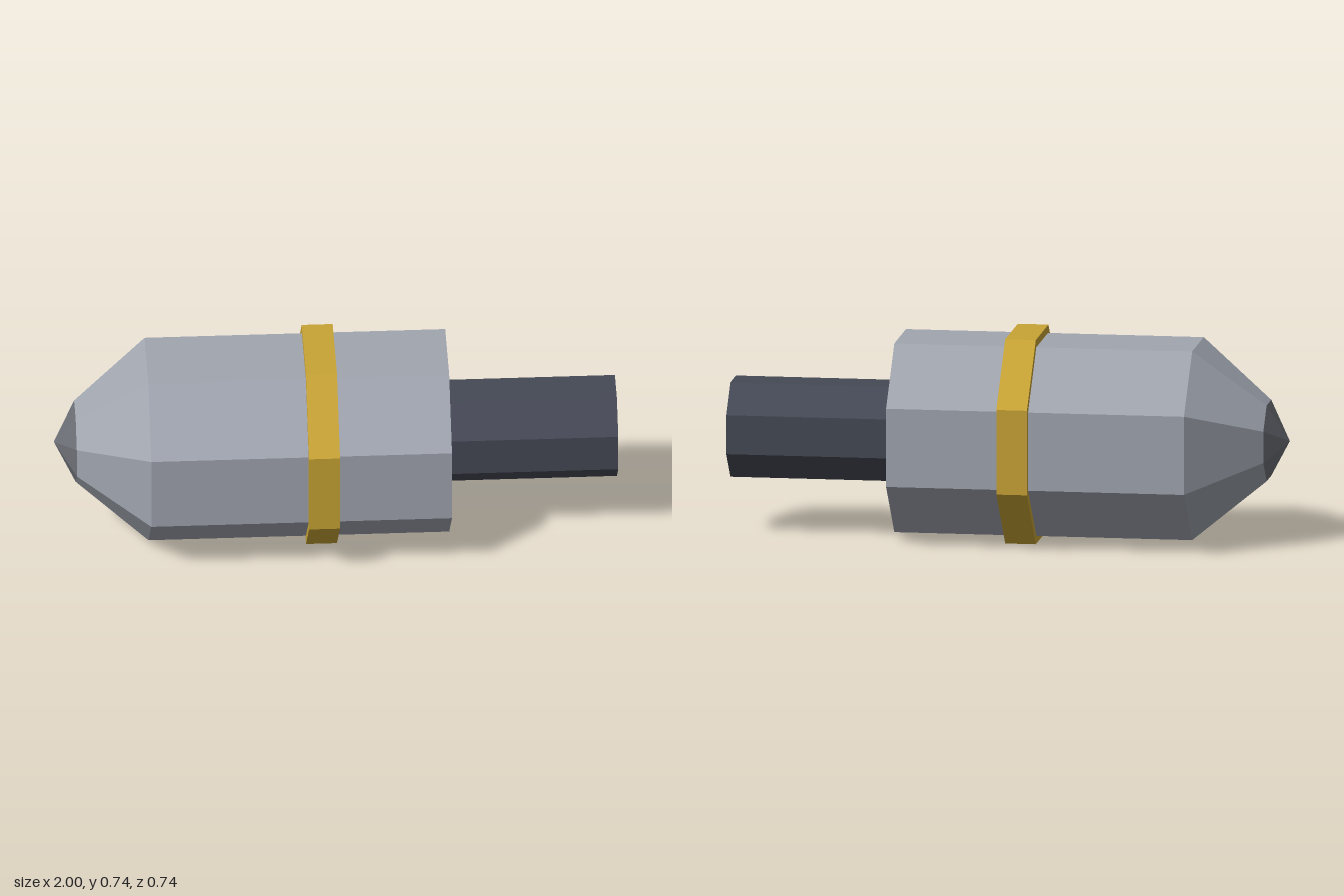
import * as THREE from 'three';

const SIDES = 8;
const AXIS_Y = 0.369;
const CORNER = 1 / Math.cos(Math.PI / SIDES); // flat-to-centre distance -> corner radius

function material(name, color) {
  const m = new THREE.MeshStandardMaterial({ color, flatShading: true });
  m.name = name;
  return m;
}

// Octagonal section along x, from x0 (half-width a0) to x1 (half-width a1)
function section(name, x0, x1, a0, a1, mat, open = false) {
  const g = new THREE.CylinderGeometry(a1 * CORNER, a0 * CORNER, x1 - x0, SIDES, 1, open, Math.PI / SIDES);
  g.rotateZ(-Math.PI / 2);
  g.translate((x0 + x1) / 2, AXIS_Y, 0);
  const mesh = new THREE.Mesh(g, mat);
  mesh.name = name;
  return mesh;
}

export function createModel() {
  const steel = material('steel grey', 0xa0a5af);
  const dark = material('dark slate', 0x454955);
  const gold = material('gold', 0xc9a435);
  const tipGrey = material('tip grey', 0x6e7178);

  const model = new THREE.Group();
  model.name = 'model';
  model.add(
    section('body', -0.67, 0.4, 0.341, 0.341, steel),
    section('nose', -0.925, -0.67, 0.137, 0.341, steel, true),
    section('tip', -1, -0.925, 0, 0.137, tipGrey, true),
    section('band', -0.11, 0, 0.369, 0.369, gold),
    section('shaft', 0.4, 1, 0.17, 0.17, dark),
  );
  return model;
}
